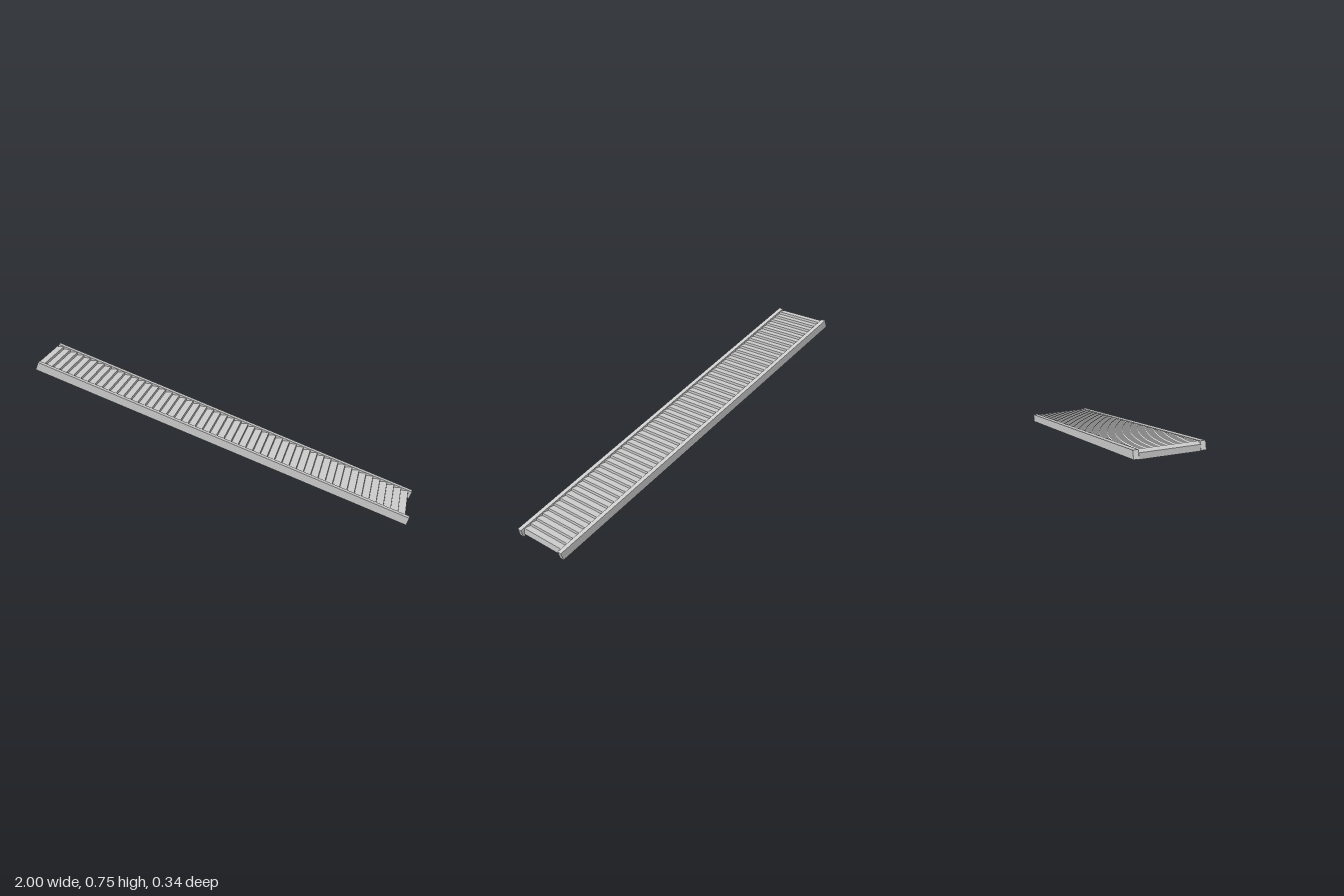
import * as THREE from 'three';

const STEPS = 51;
const RUN = 0.0387;          // horizontal depth of one step
const SLOPE = 0.713 / 1.985; // fall of the flight
const RISE = RUN * SLOPE;

export function createModel() {
  const group = new THREE.Group();
  group.name = 'staircase';
  const material = new THREE.MeshStandardMaterial({ color: 0xcccccc, flatShading: true });

  // Side stringers: sloping beams with square-cut ends
  const angle = Math.atan(SLOPE);
  const stringerGeometry = new THREE.BoxGeometry(2.109, 0.0436, 0.026);
  for (const side of [1, -1]) {
    const stringer = new THREE.Mesh(stringerGeometry, material);
    stringer.name = side > 0 ? 'frontStringer' : 'backStringer';
    stringer.rotation.z = -angle;
    stringer.position.set(0, 0.377, side * 0.158);
    group.add(stringer);
  }

  // Solid steps descending towards +x between the stringers
  const steps = new THREE.Group();
  steps.name = 'steps';
  const thickness = 0.034;
  const stepGeometry = new THREE.BoxGeometry(RUN, thickness, 0.292);
  for (let i = 0; i < STEPS; i++) {
    const step = new THREE.Mesh(stepGeometry, material);
    step.name = 'step' + (i + 1);
    step.position.set(-0.957 - RUN / 2 + i * RUN, 0.742 - thickness / 2 - i * RISE, 0);
    steps.add(step);
  }
  group.add(steps);
  return group;
}
